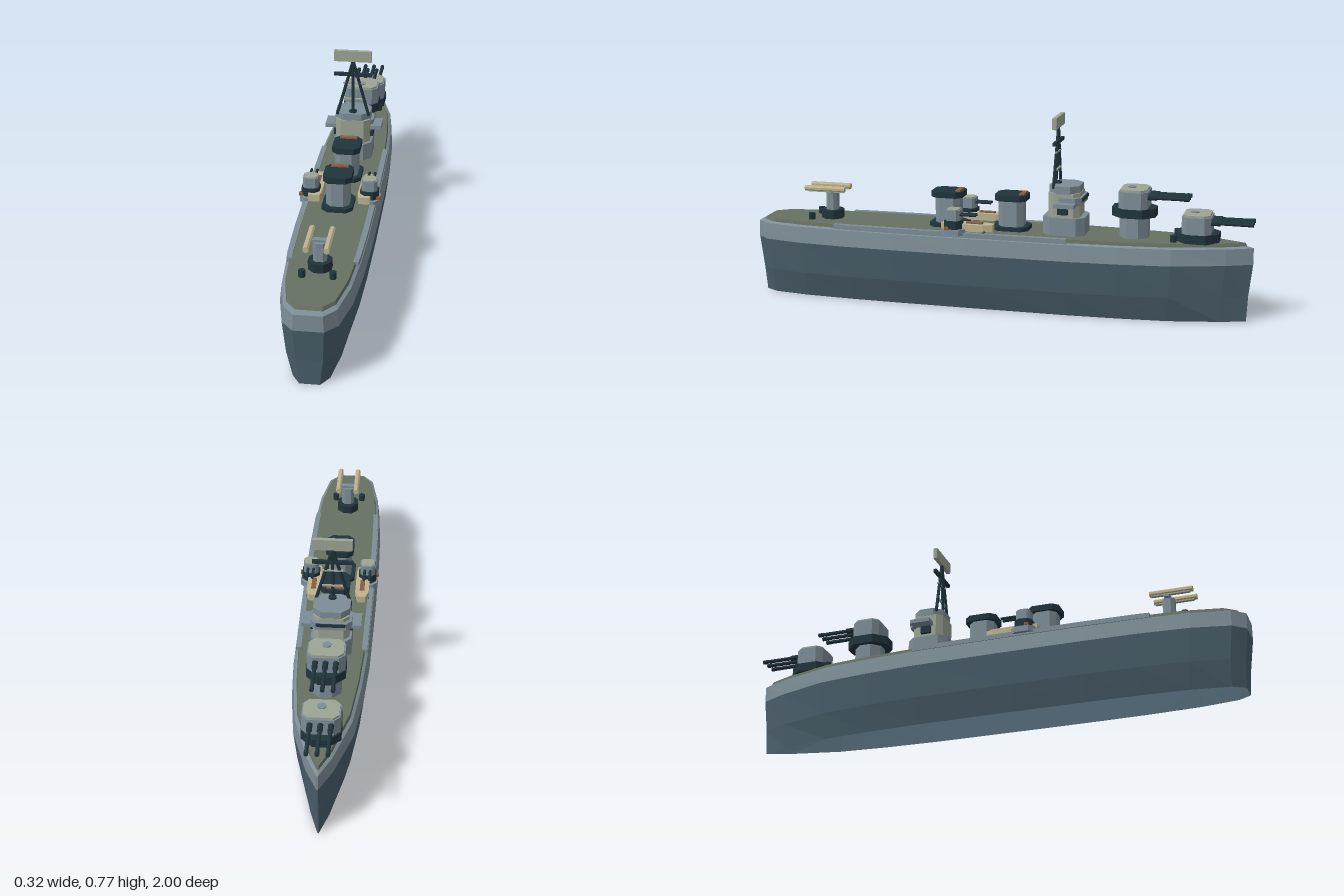
import * as THREE from 'three';

const mat = (name, color) => Object.assign(new THREE.MeshStandardMaterial({ color, flatShading: true }), { name });
const M = {
  hull: mat('hull blue grey', 0x4a5f6b),
  grey: mat('light grey', 0x7d8d96),
  deck: mat('deck green', 0x667062),
  dark: mat('dark slate', 0x21343c),
  pale: mat('pale olive', 0x9ca595),
  tan: mat('tan', 0xbdb28e),
  rust: mat('rust', 0x8a5c40),
};
// The hull is open underneath, so its plating shows from both sides
for (const m of [M.hull, M.grey, M.deck]) m.side = THREE.DoubleSide;

function add(parent, name, geo, material, x = 0, y = 0, z = 0) {
  const m = new THREE.Mesh(geo, material);
  m.name = name;
  m.position.set(x, y, z);
  parent.add(m);
  return m;
}
function group(parent, name, x = 0, y = 0, z = 0) {
  const g = new THREE.Group();
  g.name = name;
  g.position.set(x, y, z);
  parent.add(g);
  return g;
}
const box = (w, h, d) => new THREE.BoxGeometry(w, h, d);

// Flat outline of [x, -z] points raised to a height
function slab(pts, h) {
  const s = new THREE.Shape(pts.map(p => new THREE.Vector2(...p)));
  return new THREE.ExtrudeGeometry(s, { depth: h, bevelEnabled: false }).rotateX(-Math.PI / 2);
}
// Upright block with cut corners, standing on y = 0
function block(w, h, d, c) {
  const a = w / 2, b = d / 2;
  return slab([[a, -b + c], [a, b - c], [a - c, b], [-a + c, b], [-a, b - c], [-a, -b + c], [-a + c, -b], [a - c, -b]], h);
}
// Round bar between two points, closed at both ends
function bar(a, b, r, sides = 8) {
  const from = new THREE.Vector3(...a), dir = new THREE.Vector3(...b).sub(from);
  const turn = new THREE.Quaternion().setFromUnitVectors(new THREE.Vector3(0, 1, 0), dir.clone().normalize());
  return drum(r, dir.length(), sides).applyQuaternion(turn).translate(...a);
}
function drum(r, h, sides = 8) {
  return new THREE.CylinderGeometry(r, r, h, sides).rotateY(Math.PI / sides).translate(0, h / 2, 0);
}

// Half breadth of the ship, bow to stern: [z, x]
const OUTLINE = [[-1, 0.003], [-0.9, 0.05], [-0.7, 0.112], [-0.5, 0.135], [-0.3, 0.147], [0.1, 0.151],
  [0.4, 0.15], [0.6, 0.145], [0.8, 0.131], [0.95, 0.1], [1, 0.055]];
// Levels: [y, breadth scale, length scale]
function ring([y, sx, sz]) {
  const right = OUTLINE.map(([z, x]) => [x * sx, y, z * sz]);
  return [...right, ...right.map(([x, , z]) => [-x, y, z]).reverse()];
}
function loft(levels, top = false) {
  const rings = levels.map(ring), v = [], n = rings[0].length;
  for (let i = 0; i < n; i++) {
    const j = (i + 1) % n;
    for (let k = 0; k + 1 < rings.length; k++) {
      const a = rings[k], b = rings[k + 1];
      v.push(...a[i], ...b[i], ...b[j], ...a[i], ...b[j], ...a[j]);
    }
    const hi = rings[rings.length - 1];
    if (top) v.push(0, hi[0][1], 0, ...hi[j], ...hi[i]);
  }
  const g = new THREE.BufferGeometry();
  g.setAttribute('position', new THREE.Float32BufferAttribute(v, 3));
  g.computeVertexNormals();
  return g;
}

// Triple gun turret pointing toward the bow
function turret(parent, name, y, z) {
  const g = group(parent, name, 0, y, z);
  add(g, 'barbetteRing', block(0.145, 0.035, 0.17, 0.045), M.dark, 0, -0.035, 0);
  add(g, 'gunHouse', block(0.14, 0.066, 0.112, 0.022), M.grey);
  add(g, 'roof', block(0.13, 0.008, 0.102, 0.02), M.pale, 0, 0.066, 0);
  add(g, 'hatch', drum(0.017, 0.006), M.grey, 0, 0.072, 0.012);
  for (const x of [-0.038, 0, 0.038]) {
    add(g, 'barrelSleeve', bar([x, 0.045, -0.05], [x, 0.045, -0.09], 0.011), M.dark);
    add(g, 'barrel', bar([x, 0.045, -0.05], [x, 0.045, -0.212], 0.0075), M.dark);
    add(g, 'muzzle', bar([x, 0.045, -0.195], [x, 0.045, -0.215], 0.0085), M.dark);
  }
}

function funnel(parent, name, z) {
  const g = group(parent, name, 0, 0.311, z);
  add(g, 'funnelBase', block(0.12, 0.015, 0.142, 0.024), M.dark);
  add(g, 'funnelBody', block(0.09, 0.11, 0.1, 0.022), M.grey, 0, 0.012, 0);
  add(g, 'funnelCap', block(0.11, 0.024, 0.126, 0.022), M.dark, 0, 0.118, 0);
  add(g, 'funnelVent', box(0.068, 0.009, 0.02), M.rust, 0, 0.143, -0.044);
}

function createModel() {
  const ship = new THREE.Group();
  ship.name = 'warship';

  // Hull and deck
  add(ship, 'lowerHull', loft([[0, 0.67, 0.98], [0.1, 0.89, 0.985], [0.228, 1, 1]]), M.hull);
  add(ship, 'upperHull', loft([[0.228, 1, 1], [0.292, 0.945, 1], [0.298, 0.87, 0.975]]), M.grey);
  add(ship, 'deck', loft([[0.298, 0.87, 0.975], [0.311, 0.85, 0.968]], true), M.deck);

  for (const s of [1, -1]) {
    // Side walkways following the deck edge
    const path = [...OUTLINE.filter(([z]) => z > -0.45 && z < 0.62), [0.65, 0.141]];
    const edge = k => path.map(([z, x]) => [s * x * k, -z]);
    add(ship, 'walkway', slab([...edge(0.93), ...edge(0.79).reverse()], 0.019), M.grey, 0, 0.295, 0);
    // Mooring bollards
    for (const z of [-0.7, 0.77]) add(ship, 'bollard', drum(0.013, 0.026), M.dark, s * 0.056, 0.311, z);
  }

  // Main guns
  add(ship, 'lowTurretBase', drum(0.06, 0.017), M.dark, 0, 0.311, -0.785);
  turret(ship, 'forwardTurret', 0.345, -0.785);
  add(ship, 'raisedTurretBase', drum(0.06, 0.089), M.grey, 0, 0.311, -0.54);
  turret(ship, 'raisedTurret', 0.43, -0.54);

  // Bridge
  const bridge = group(ship, 'bridge', 0, 0, -0.27);
  add(bridge, 'bridgeBase', block(0.155, 0.071, 0.165, 0.03), M.grey, 0, 0.311, 0);
  add(bridge, 'bridgeTower', block(0.138, 0.095, 0.124, 0.022), M.pale, 0, 0.382, 0);
  add(bridge, 'bridgeWings', box(0.228, 0.016, 0.08), M.grey, 0, 0.436, -0.012);
  add(bridge, 'wheelhouse', block(0.16, 0.03, 0.1, 0.022), M.grey, 0, 0.432, -0.022);
  add(bridge, 'windowBand', block(0.144, 0.012, 0.112, 0.022), M.dark, 0, 0.448, -0.022);
  add(bridge, 'bridgeTop', block(0.14, 0.03, 0.12, 0.032), M.grey, 0, 0.475, 0);
  for (const s of [1, -1]) add(bridge, 'sideLocker', box(0.012, 0.03, 0.04), M.dark, s * 0.075, 0.41, 0);
  add(bridge, 'mastFoot', drum(0.016, 0.008), M.dark, 0, 0.504, 0.035);

  // Tripod mast and radar
  const mast = group(ship, 'mast', 0, 0, -0.235);
  add(mast, 'centreLeg', bar([0, 0.5, 0.008], [0, 0.728, 0], 0.006, 6), M.dark);
  for (const s of [1, -1]) add(mast, 'sideLeg', bar([s * 0.064, 0.494, 0.004], [s * 0.002, 0.72, 0], 0.0062, 6), M.dark);
  add(mast, 'yard', box(0.154, 0.013, 0.013), M.dark, 0, 0.669, 0);
  for (const y of [0.562, 0.631]) add(mast, 'crossBrace', box(0.08, 0.006, 0.008), M.pale, 0, y, 0);
  add(mast, 'radarPanel', box(0.15, 0.045, 0.016), M.pale, 0, 0.748, 0);

  // Funnels
  funnel(ship, 'forwardFunnel', -0.052);
  funnel(ship, 'aftFunnel', 0.207);

  // Side guns and boats, mirrored
  for (const s of [1, -1]) {
    const gun = group(ship, s > 0 ? 'leftSideGun' : 'rightSideGun', s * 0.114, 0, 0.155);
    add(gun, 'sponson', block(0.082, 0.024, 0.095, 0.02), M.grey, 0, 0.303, 0);
    add(gun, 'gunRing', block(0.07, 0.036, 0.07, 0.018), M.dark, 0, 0.324, 0);
    add(gun, 'gunHouse', block(0.058, 0.043, 0.056, 0.01), M.grey, 0, 0.358, 0);
    add(gun, 'gunRoof', block(0.05, 0.005, 0.048, 0.009), M.pale, 0, 0.4, 0);
    for (const x of [-0.011, 0.011]) add(gun, 'gunBarrel', bar([x, 0.383, -0.02], [x, 0.383, -0.092], 0.0055, 6), M.dark);
    add(gun, 'sideLocker', box(0.016, 0.011, 0.016), M.rust, s * 0.036, 0.332, 0.02);

    const boat = group(ship, s > 0 ? 'leftBoat' : 'rightBoat', s * 0.097, 0.313, 0.085);
    add(boat, 'boatHull', slab([[-0.022, -0.121], [0.022, -0.121], [0.027, -0.09], [0.027, 0.05], [0.015, 0.085], [-0.015, 0.085], [-0.027, 0.05], [-0.027, -0.09]], 0.028), M.tan, 0, 0.004, 0);
    add(boat, 'boatCover', box(0.018, 0.007, 0.065), M.rust, 0, 0.034, -0.01);
    for (const z of [-0.05, 0.06]) add(boat, 'boatCradle', box(0.052, 0.012, 0.012), M.dark, 0, 0.004, z);
  }

  // Stern missile launcher
  const launcher = group(ship, 'sternLauncher', 0, 0.311, 0.7);
  add(launcher, 'launcherBase', drum(0.046, 0.035), M.dark);
  add(launcher, 'launcherPost', block(0.05, 0.075, 0.046, 0.012), M.grey, 0, 0.033, 0);
  add(launcher, 'launcherArm', box(0.085, 0.012, 0.022), M.grey, 0, 0.111, 0);
  for (const x of [-0.037, 0.037]) {
    add(launcher, 'rail', box(0.014, 0.008, 0.15), M.pale, x, 0.115, 0.015);
    add(launcher, 'missile', bar([x, 0.124, -0.066], [x, 0.124, 0.102], 0.0115), M.tan);
  }
  return ship;
}

export { createModel };
